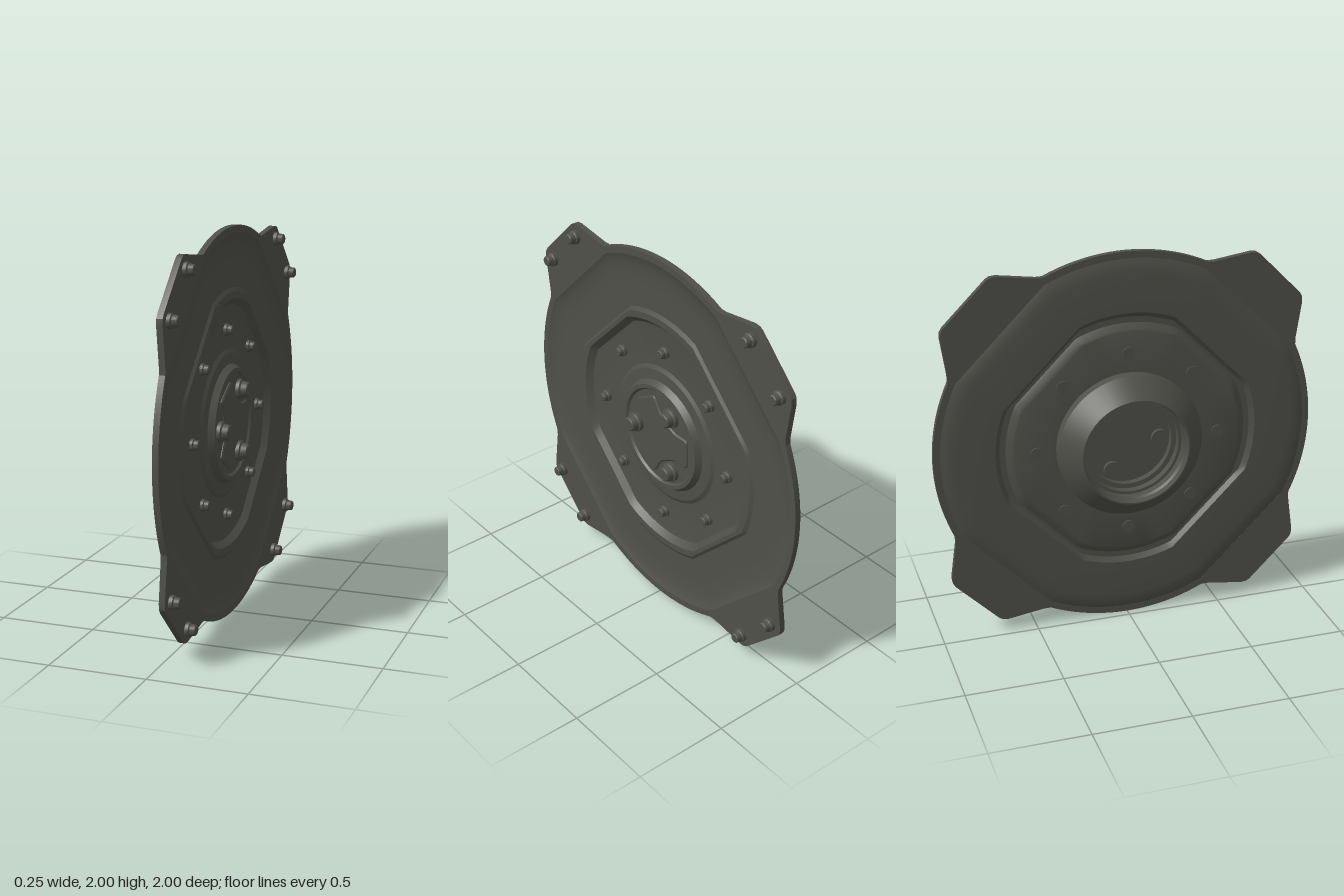
import * as THREE from 'three';
import { toCreasedNormals } from 'three/addons/utils/BufferGeometryUtils.js';

const metal = new THREE.MeshStandardMaterial({ color: 0x50504a });
metal.name = 'dark olive metal';

// Contour of a circle of radius R cut by four diagonal chords at distance D
function contour(R, D) {
  const half = D < R ? Math.acos(D / R) : 0.39;
  const pts = [];
  const add = (a, off) => {
    const r = Math.min(R, D / Math.cos(off));
    pts.push([r * Math.cos(a), r * Math.sin(a)]);
  };
  for (let q = 0; q < 4; q++) {
    const mid = Math.PI / 4 + q * Math.PI / 2;
    for (let i = 0; i < 8; i++) {
      const off = -half + 2 * half * i / 8;
      add(mid + off, off);
    }
    const span = Math.PI / 2 - 2 * half;
    for (let i = 0; i < 14; i++) add(mid + half + span * i / 14, half);
  }
  return pts;
}

// Skin between contours [R, D, depth]; outer to inner faces forward, inner to outer faces back
function loft(rings) {
  const pos = [], idx = [];
  const n = contour(1, 1).length;
  for (const [R, D, z] of rings) for (const [x, y] of contour(R, D)) pos.push(x, y, z);
  for (let i = 0; i < rings.length - 1; i++) {
    for (let j = 0; j < n; j++) {
      const a = i * n + j, b = i * n + (j + 1) % n;
      idx.push(a, b, a + n, b, b + n, a + n);
    }
  }
  const g = new THREE.BufferGeometry();
  g.setAttribute('position', new THREE.Float32BufferAttribute(pos, 3));
  g.setIndex(idx);
  return toCreasedNormals(g, 0.4);
}

const circle = (r, z) => [r, r, z];

export function createModel() {
  const model = new THREE.Group();
  model.name = 'roundHatch';
  const body = new THREE.Group();
  body.name = 'hatchBody';
  body.rotation.y = Math.PI / 2;
  body.position.y = 1;
  model.add(body);

  const add = (name, geo, x = 0, y = 0, z = 0) => {
    const m = new THREE.Mesh(geo, metal);
    m.name = name;
    m.position.set(x, y, z);
    body.add(m);
    return m;
  };

  // Flat rim with four corner ears
  const ear = [[0.907, 0.455], [0.935, 0.65], [0.932, 0.68], [0.92, 0.7],
    [0.7, 0.92], [0.68, 0.932], [0.65, 0.935], [0.455, 0.907]];
  const outline = [];
  for (let q = 0; q < 4; q++) {
    const t = q * Math.PI / 2, c = Math.cos(t), s = Math.sin(t);
    for (let i = 0; i <= 20; i++) {
      const a = t - 0.434 + 0.868 * i / 20;
      outline.push(new THREE.Vector2(Math.cos(a), Math.sin(a)));
    }
    for (const [x, y] of ear) outline.push(new THREE.Vector2(x * c - y * s, x * s + y * c));
  }
  const rim = new THREE.Shape(outline);
  rim.holes.push(new THREE.Path(contour(0.965, 0.91).map(p => new THREE.Vector2(...p))));
  const rimGeo = new THREE.ExtrudeGeometry(rim, { depth: 0.031, bevelEnabled: false });
  add('rimPlate', toCreasedNormals(rimGeo, 0.4), 0, 0, 0.04);

  // Front skin: dish, octagonal ridge, sunken panel and raised hub
  add('frontDish', loft([
    [0.965, 0.91, 0.071], [0.945, 0.893, 0.063], [0.92, 0.87, 0.057], [0.88, 0.83, 0.052],
    [0.82, 0.77, 0.05], [0.69, 0.63, 0.05], [0.67, 0.615, 0.062], [0.635, 0.595, 0.062],
    [0.605, 0.565, 0.032], [0.595, 0.548, 0.03],
    circle(0.38, 0.03), circle(0.36, 0.042), circle(0.305, 0.046), circle(0.285, 0.077),
    circle(0.265, 0.077), circle(0.255, 0.066), circle(0, 0.066),
  ]));

  // Back skin: hollow hub collar, panel, groove and bulged dish
  add('backDish', loft([
    circle(0, 0.035), circle(0.225, 0.035), circle(0.225, 0.0), circle(0.25, 0.0),
    circle(0.25, -0.04), circle(0.265, -0.04), circle(0.265, -0.08), circle(0.275, -0.09),
    circle(0.275, -0.128), circle(0.282, -0.128), circle(0.38, -0.03), circle(0.38, 0.02),
    [0.595, 0.548, 0.02], [0.605, 0.565, 0.024], [0.635, 0.595, 0.045], [0.665, 0.61, 0.045],
    [0.69, 0.63, 0.024], [0.88, 0.83, 0.024], [0.92, 0.87, 0.028],
    [0.945, 0.893, 0.034], [0.965, 0.91, 0.041],
  ]));

  // Three-lobed plate in the hub
  const lobes = new THREE.Shape();
  for (let k = 0; k < 3; k++) {
    const t = k * 2 * Math.PI / 3;
    const p = (x, y) => [x * Math.cos(t) - y * Math.sin(t), x * Math.sin(t) + y * Math.cos(t)];
    if (k === 0) lobes.moveTo(...p(0.13, -0.08));
    else lobes.lineTo(...p(0.13, -0.08));
    lobes.lineTo(...p(0.195, -0.08));
    lobes.quadraticCurveTo(...p(0.215, -0.08), ...p(0.215, -0.06));
    lobes.lineTo(...p(0.215, 0.06));
    lobes.quadraticCurveTo(...p(0.215, 0.08), ...p(0.195, 0.08));
    lobes.lineTo(...p(0.13, 0.08));
    // hollow around the stud between two lobes
    const e = p(0.13, 0.08), c = p(0.055, 0.095);
    const t2 = t + 2 * Math.PI / 3;
    const f = [0.13 * Math.cos(t2) + 0.08 * Math.sin(t2), 0.13 * Math.sin(t2) - 0.08 * Math.cos(t2)];
    lobes.bezierCurveTo(e[0] * 0.55 + c[0] * 0.45, e[1] * 0.55 + c[1] * 0.45,
      f[0] * 0.55 + c[0] * 0.45, f[1] * 0.55 + c[1] * 0.45, f[0], f[1]);
  }
  const lobeGeo = new THREE.ExtrudeGeometry(lobes, {
    depth: 0.006, bevelThickness: 0.006, bevelSize: 0.008, bevelOffset: -0.004,
    bevelSegments: 1, curveSegments: 8,
  });
  add('lobedPlate', toCreasedNormals(lobeGeo, 0.4), 0, 0, 0.064);

  // Stepped stud turned from a profile
  const stud = (r, h) => {
    const pts = [[r, 0], [r, h * 0.35], [r * 0.82, h * 0.45], [r * 0.72, h * 0.92],
      [r * 0.6, h], [0, h]].map(p => new THREE.Vector2(...p));
    return toCreasedNormals(new THREE.LatheGeometry(pts, 20).rotateX(Math.PI / 2), 0.5);
  };
  const earStud = stud(0.036, 0.051), panelStud = stud(0.031, 0.042), hubStud = stud(0.052, 0.06);
  const backHead = new THREE.CylinderGeometry(0.033, 0.033, 0.02, 20).rotateX(Math.PI / 2);

  // Two studs on each ear
  for (const sx of [-1, 1]) for (const sy of [-1, 1]) {
    add('earStud', earStud, sx * 0.66, sy * 0.866, 0.071);
    add('earStud', earStud, sx * 0.862, sy * 0.662, 0.071);
  }

  // Ring of eight panel studs with heads behind
  for (let i = 0; i < 8; i++) {
    const a = i * Math.PI / 4, x = 0.48 * Math.cos(a), y = 0.48 * Math.sin(a);
    add('panelStud', panelStud, x, y, 0.029);
    add('panelStudHead', backHead, x, y, 0.023);
  }

  // Three hub studs, with bosses inside the hollow collar
  const boss = new THREE.CylinderGeometry(0.045, 0.045, 0.025, 20).rotateX(Math.PI / 2);
  for (let i = 0; i < 3; i++) {
    const a = Math.PI / 3 + i * 2 * Math.PI / 3;
    const x = 0.187 * Math.cos(a), y = 0.187 * Math.sin(a);
    add('hubStud', hubStud, x, y, 0.064);
    add('hubBoss', boss, x * 0.9, y * 0.9, 0.028);
  }
  return model;
}
